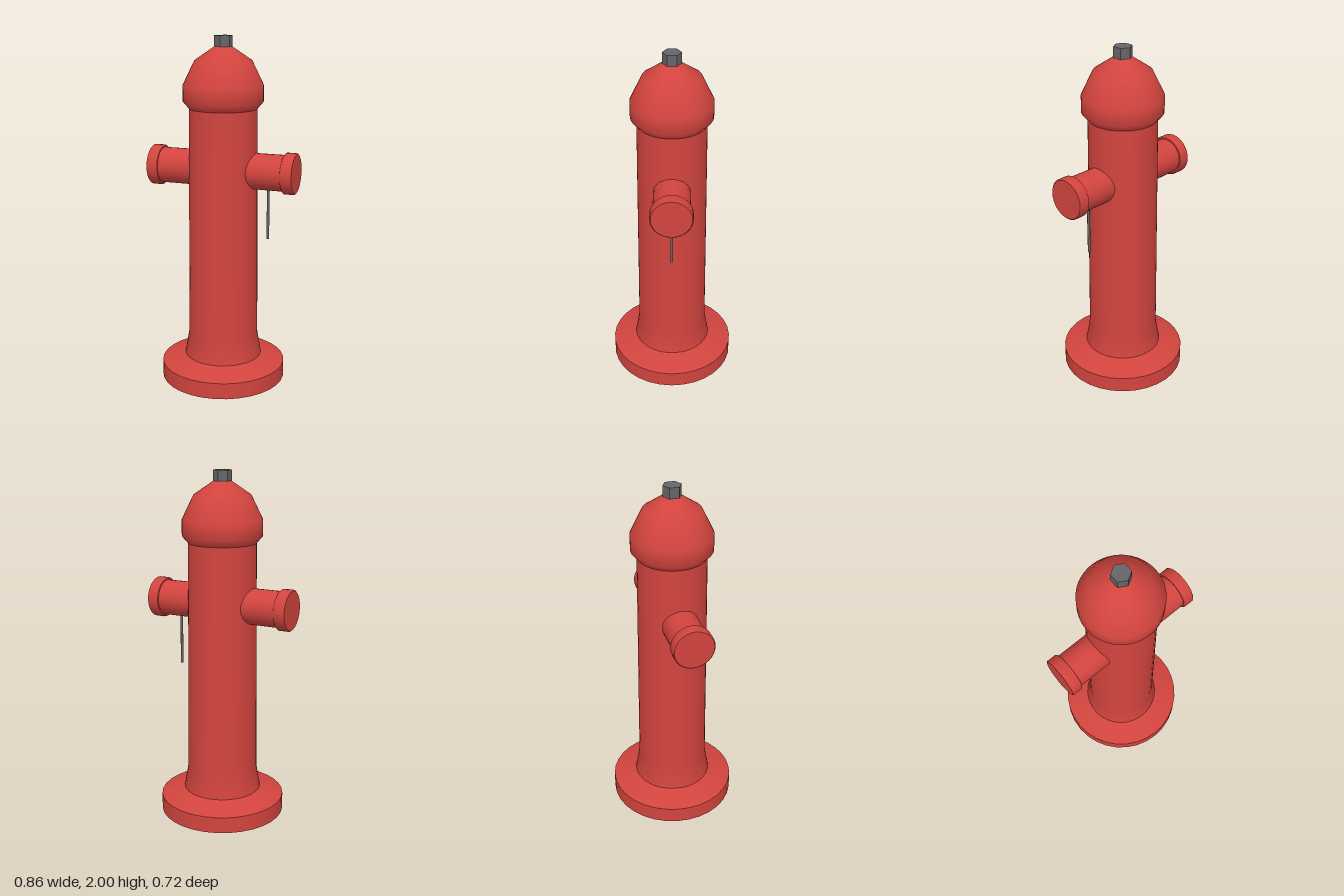
import * as THREE from 'three';

export function createModel() {
  const model = new THREE.Group();
  model.name = 'fireHydrant';
  const red = new THREE.MeshStandardMaterial({ color: 0xd2443e });
  red.name = 'hydrant red';
  const grey = new THREE.MeshStandardMaterial({ color: 0x66666a });
  grey.name = 'iron grey';

  const add = (name, geometry, material, parent = model) => {
    const mesh = new THREE.Mesh(geometry, material);
    mesh.name = name;
    parent.add(mesh);
    return mesh;
  };
  // Profiles run from bottom to top as [radius, height]
  const lathe = (points, segments = 40) =>
    new THREE.LatheGeometry(points.map(([r, y]) => new THREE.Vector2(r, y)), segments);

  // Foot flange, in separate bands so its rims stay sharp
  add('footUnderside', lathe([[0, 0], [0.362, 0]], 32), red);
  add('footRim', lathe([[0.362, 0], [0.362, 0.095]], 32), red);
  add('footSlope', lathe([[0.362, 0.095], [0.225, 0.14]], 32), red);

  // Barrel with flared bottom
  add('barrel', lathe([[0.225, 0.14], [0.203, 0.27], [0.192, 1.6]]), red);

  // Bonnet: flared lip, short wall and dome
  add('bonnet', lathe([[0.19, 1.598], [0.226, 1.64], [0.226, 1.73], [0.16, 1.865], [0.05, 1.94], [0, 1.945]], 48), red);

  // Hexagonal operating nut
  const nut = new THREE.CylinderGeometry(0.052, 0.052, 0.07, 6).toNonIndexed();
  nut.computeVertexNormals();
  add('operatingNut', nut, grey).position.y = 1.965;

  // Side outlets with softly bevelled caps
  for (const [side, name] of [[1, 'left'], [-1, 'right']]) {
    const outlet = new THREE.Group();
    outlet.name = name + 'Outlet';
    outlet.position.y = 1.255;
    outlet.rotation.z = -side * Math.PI / 2;
    model.add(outlet);
    add(name + 'Pipe', lathe([[0.102, 0.1], [0.102, 0.37]], 32), red, outlet);
    add(name + 'CapBack', lathe([[0.09, 0.365], [0.11, 0.365]], 32), red, outlet);
    add(name + 'CapRim', lathe([[0.11, 0.365], [0.116, 0.371], [0.116, 0.424], [0.11, 0.43]], 32), red, outlet);
    add(name + 'CapFace', lathe([[0.11, 0.43], [0, 0.43]], 32), red, outlet);
  }

  // Thin chain hanging under the left outlet
  add('hangingChain', new THREE.CylinderGeometry(0.008, 0.008, 0.3, 8), grey).position.set(0.27, 1.017, 0);

  return model;
}
